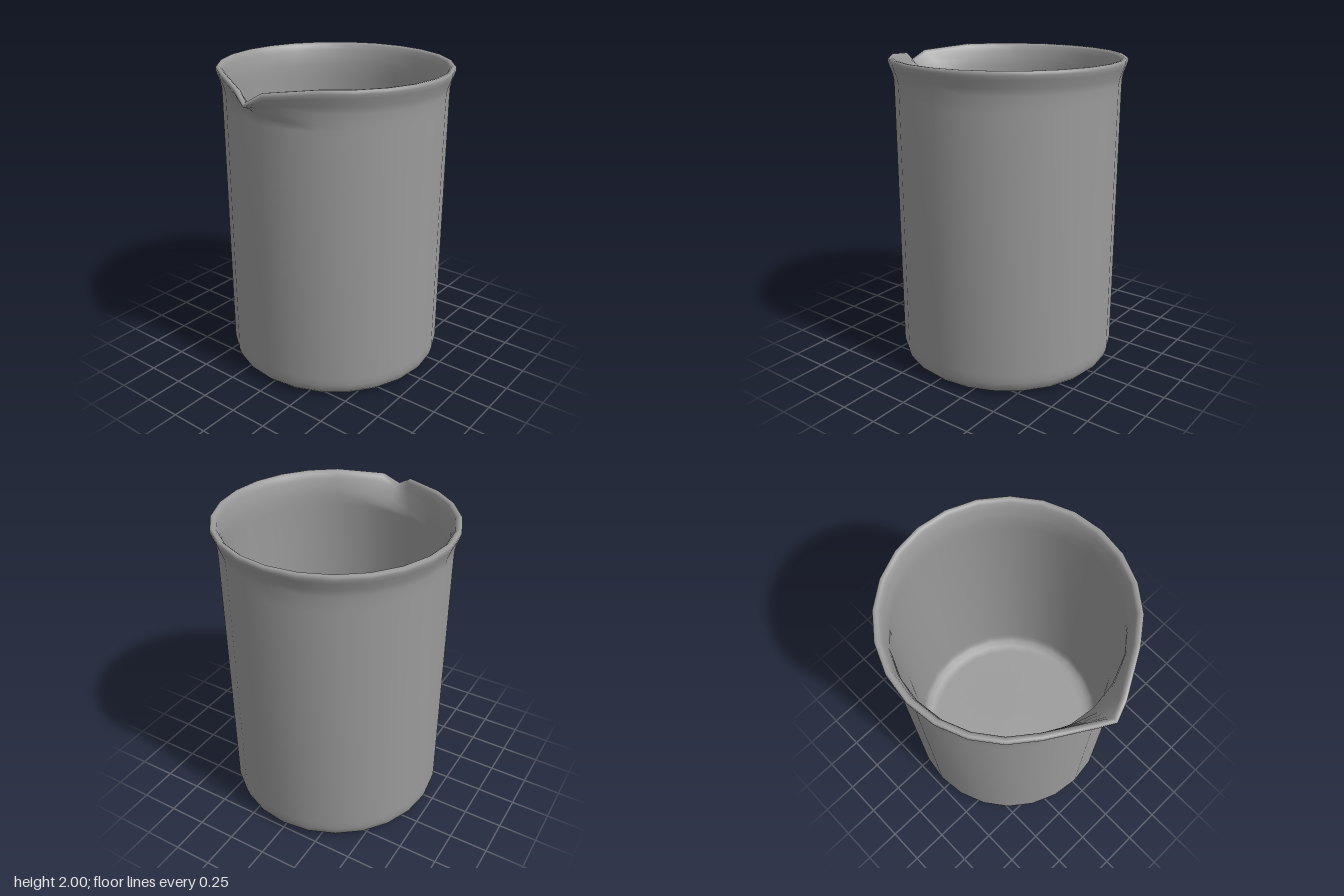
import * as THREE from 'three';
import { mergeVertices } from 'three/addons/utils/BufferGeometryUtils.js';

const SEGMENTS = 24;
const CENTER_Z = -0.05;

// Closed wall section: under the base, up the outside, over the beaded lip, down the inside
const PROFILE = [
  [0, 0], [0.58, 0], [0.625, 0.003], [0.67, 0.014], [0.698, 0.043], [0.711, 0.09],
  [0.711, 0.14], [0.711, 1.76], [0.711, 1.8], [0.712, 1.86], [0.719, 1.9],
  [0.738, 1.95], [0.745, 1.975], [0.744, 1.992], [0.735, 2], [0.718, 1.998],
  [0.704, 1.985], [0.694, 1.95], [0.682, 1.9], [0.677, 1.85], [0.676, 1.8], [0.676, 1.76],
  [0.676, 0.14], [0.673, 0.09], [0.658, 0.055], [0.62, 0.035], [0.57, 0.03], [0, 0.03],
];

// Pulls the front of the rim forward and down into a pointed pouring lip
function pullSpout(geometry) {
  const pos = geometry.attributes.position;
  const step = (Math.PI * 2) / SEGMENTS;
  for (let i = 0; i < pos.count; i++) {
    const x = pos.getX(i), y = pos.getY(i), z = pos.getZ(i);
    const column = Math.round(Math.atan2(x, z) / step);
    // The tip column starts lower than its two neighbours
    const start = column === 0 ? 1.8 : 1.84;
    if (y <= start || Math.abs(column) > 1) continue;
    const w = Math.pow(Math.min(1, (y - start) / (1.98 - start)), 0.6);
    if (column === 0) {
      pos.setXYZ(i, 0, y - 0.09 * w ** 3, z + 0.096 * w);
    } else {
      pos.setXYZ(i, x - column * 0.092 * w, y - 0.028 * w ** 3, z + 0.082 * w);
    }
  }
}

export function createModel() {
  const group = new THREE.Group();
  group.name = 'beaker';

  const points = PROFILE.map(([r, y]) => new THREE.Vector2(r, y));
  let geometry = new THREE.LatheGeometry(points, SEGMENTS);

  // Weld the seam so shading is continuous all round
  geometry.deleteAttribute('uv');
  geometry.deleteAttribute('normal');
  geometry = mergeVertices(geometry, 1e-4);
  pullSpout(geometry);
  geometry.translate(0, 0, CENTER_Z);
  geometry.computeVertexNormals();

  const vessel = new THREE.Mesh(
    geometry,
    new THREE.MeshStandardMaterial({ color: 0x9a9a9a, side: THREE.DoubleSide })
  );
  vessel.name = 'vesselWithSpout';
  group.add(vessel);
  return group;
}
